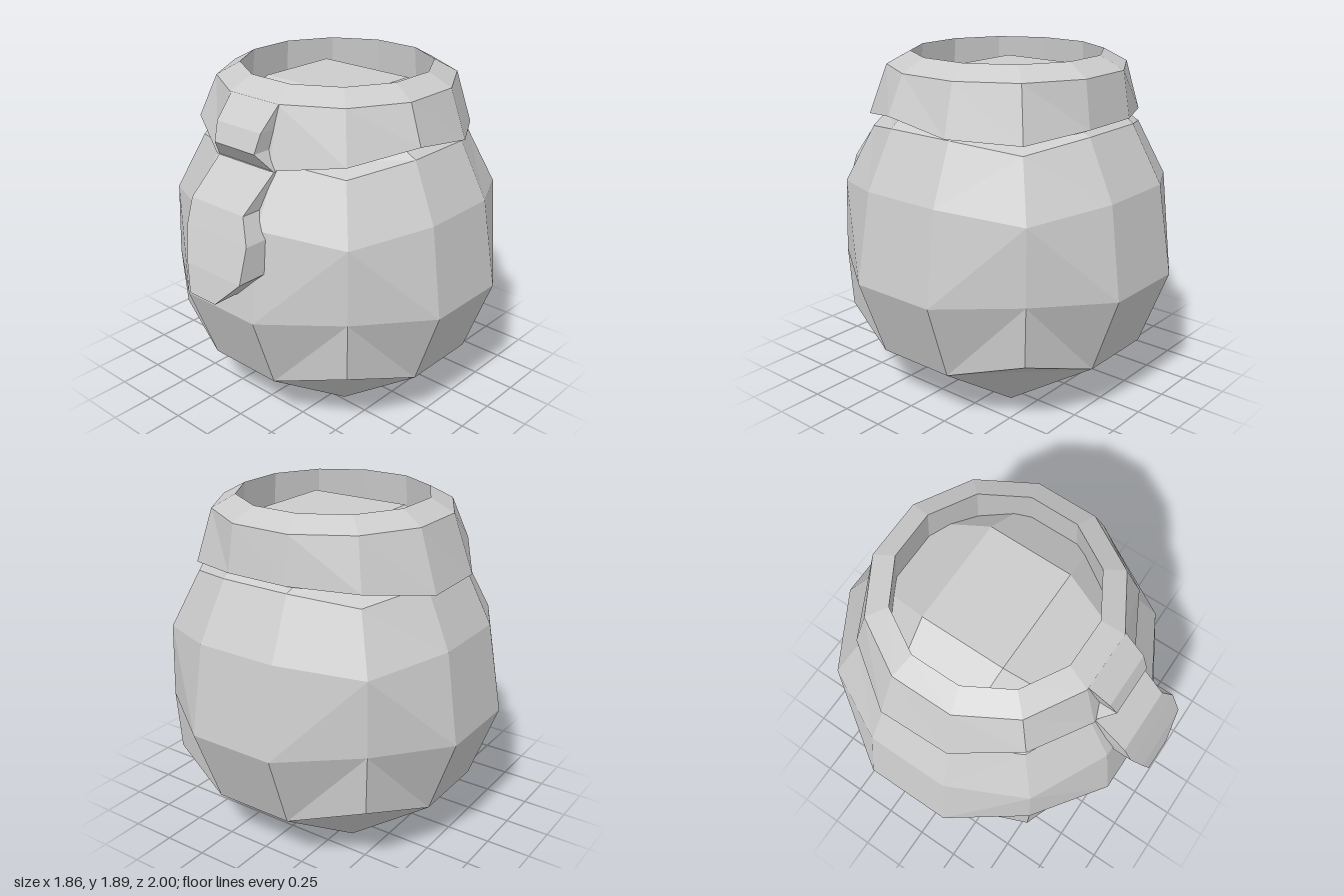
import * as THREE from 'three';

const ZC = -0.07; // depth of the pot's axis

// Collects triangles (outward, counter-clockwise) and makes a faceted mesh
function facets(name, build) {
  const pos = [];
  const tri = (a, b, c) => pos.push(...a, ...b, ...c);
  const quad = (a, b, c, d) => { tri(a, b, c); tri(a, c, d); };
  build(tri, quad);
  const geo = new THREE.BufferGeometry();
  geo.setAttribute('position', new THREE.Float32BufferAttribute(pos, 3));
  geo.computeVertexNormals();
  const mat = new THREE.MeshStandardMaterial({ color: 0xcccccc, flatShading: true, side: THREE.DoubleSide });
  const mesh = new THREE.Mesh(geo, mat);
  mesh.name = name;
  return mesh;
}

const SIGNS = [[1, 1], [-1, 1], [-1, -1], [1, -1]];

// Twelve points round the body: two per side plus one per corner
function bodyRing({ y, cornerY, side, front, corner, half }) {
  const ring = [];
  SIGNS.forEach(([sx, sz], q) => {
    const a = [sx * side, y, ZC + sz * half];
    const c = [sx * corner, cornerY, ZC + sz * corner];
    const b = [sx * half, y, ZC + sz * front];
    ring.push(...(q % 2 ? [b, c, a] : [a, c, b]));
  });
  return ring;
}

// Body: a rounded cube with three divisions per edge
function createBody() {
  const rings = [
    { y: 0.3, cornerY: 0.425, side: 0.775, front: 0.77, corner: 0.635, half: 0.23 },
    { y: 0.735, cornerY: 0.76, side: 0.93, front: 0.93, corner: 0.65, half: 0.25 },
    { y: 1.23, cornerY: 1.17, side: 0.85, front: 0.855, corner: 0.64, half: 0.23 },
    { y: 1.54, cornerY: 1.48, side: 0.7, front: 0.69, corner: 0.525, half: 0.2 },
  ].map(bodyRing);

  return facets('body', (tri, quad) => {
    // walls
    for (let r = 0; r < 3; r++) {
      for (let k = 0; k < 12; k++) {
        const n = (k + 1) % 12, lo = rings[r], up = rings[r + 1];
        if (k % 3 === 1) quad(up[k], up[n], lo[n], lo[k]);
        else quad(lo[k], up[k], up[n], lo[n]);
      }
    }
    // bottom and domed top
    const cap = (ring, y, hx, hz, top) => {
      const t = top ? tri : (a, b, c) => tri(a, c, b);
      const f = (a, b, c, d) => { t(a, b, c); t(a, c, d); };
      const inner = SIGNS.map(([sx, sz]) => [sx * hx, y, ZC + sz * hz]);
      f(inner[3], inner[2], inner[1], inner[0]);
      for (let q = 0; q < 4; q++) {
        const k = q * 3, m = (q + 1) % 4;
        t(inner[q], ring[k + 2], ring[k]);
        t(ring[k], ring[k + 2], ring[k + 1]);
        f(inner[q], inner[m], ring[(k + 3) % 12], ring[k + 2]);
      }
    };
    cap(rings[0], 0, 0.33, 0.3, false);
    cap(rings[3], 1.8, 0.3, 0.24, true);
  });
}

// Neck: twelve-sided collar with an uneven lower edge
function createNeck() {
  const lowY = [1.61, 1.55, 1.5, 1.5, 1.59, 1.5, 1.5, 1.55, 1.57, 1.57, 1.53, 1.55];
  const lowR = [0.75, 0.76, 0.75, 0.75, 0.76, 0.77, 0.78, 0.74, 0.7, 0.7, 0.75, 0.75];
  const ring = (radius, height) => lowY.map((_, k) => {
    const a = (15 + 30 * k) * Math.PI / 180;
    return [radius(k) * Math.cos(a), height(k), ZC + radius(k) * Math.sin(a)];
  });
  const loops = [
    ring(k => lowR[k], k => lowY[k]),
    ring(() => 0.66, () => 1.82),
    ring(() => 0.53, () => 1.89),
    ring(() => 0.56, () => 1.56),
  ];
  return facets('neck', (tri, quad) => {
    loops.forEach((lo, r) => {
      const up = loops[(r + 1) % loops.length];
      for (let k = 0; k < 12; k++) {
        const n = (k + 1) % 12;
        quad(lo[k], up[k], up[n], lo[n]);
      }
    });
  });
}

// Strip lofted down the front; rows are [y, front z, back z, right x, left x]
function frontStrip(name, rows) {
  const sections = rows.map(([y, zf, zb, xr, xl]) =>
    [[xr, y, zf], [xl, y, zf], [xl, y, zb], [xr, y, zb]]);
  return facets(name, (tri, quad) => {
    for (let i = 0; i < sections.length - 1; i++) {
      const up = sections[i], lo = sections[i + 1];
      for (let k = 0; k < 4; k++) {
        const n = (k + 1) % 4;
        quad(up[k], lo[k], lo[n], up[n]);
      }
    }
    quad(...sections[0]);
    quad(...sections[sections.length - 1].slice().reverse());
  });
}

export function createModel() {
  const group = new THREE.Group();
  group.name = 'pot';
  group.add(
    createBody(),
    createNeck(),
    // pouring lip on the front of the neck
    frontStrip('lip', [
      [1.82, 0.567, 0.5, -0.16, 0.18],
      [1.7, 0.69, 0.5, -0.14, 0.175],
      [1.6, 0.73, 0.5, -0.12, 0.165],
      [1.5, 0.65, 0.5, -0.18, 0.22],
    ]),
    // drip running down the body
    frontStrip('drip', [
      [1.5, 0.65, 0.55, -0.18, 0.22],
      [1.32, 0.85, 0.65, -0.18, 0.2],
      [1.19, 0.9, 0.7, -0.17, 0.27],
      [1.01, 0.965, 0.75, -0.11, 0.28],
      [0.865, 1.0, 0.8, -0.06, 0.13],
    ]),
  );
  return group;
}
